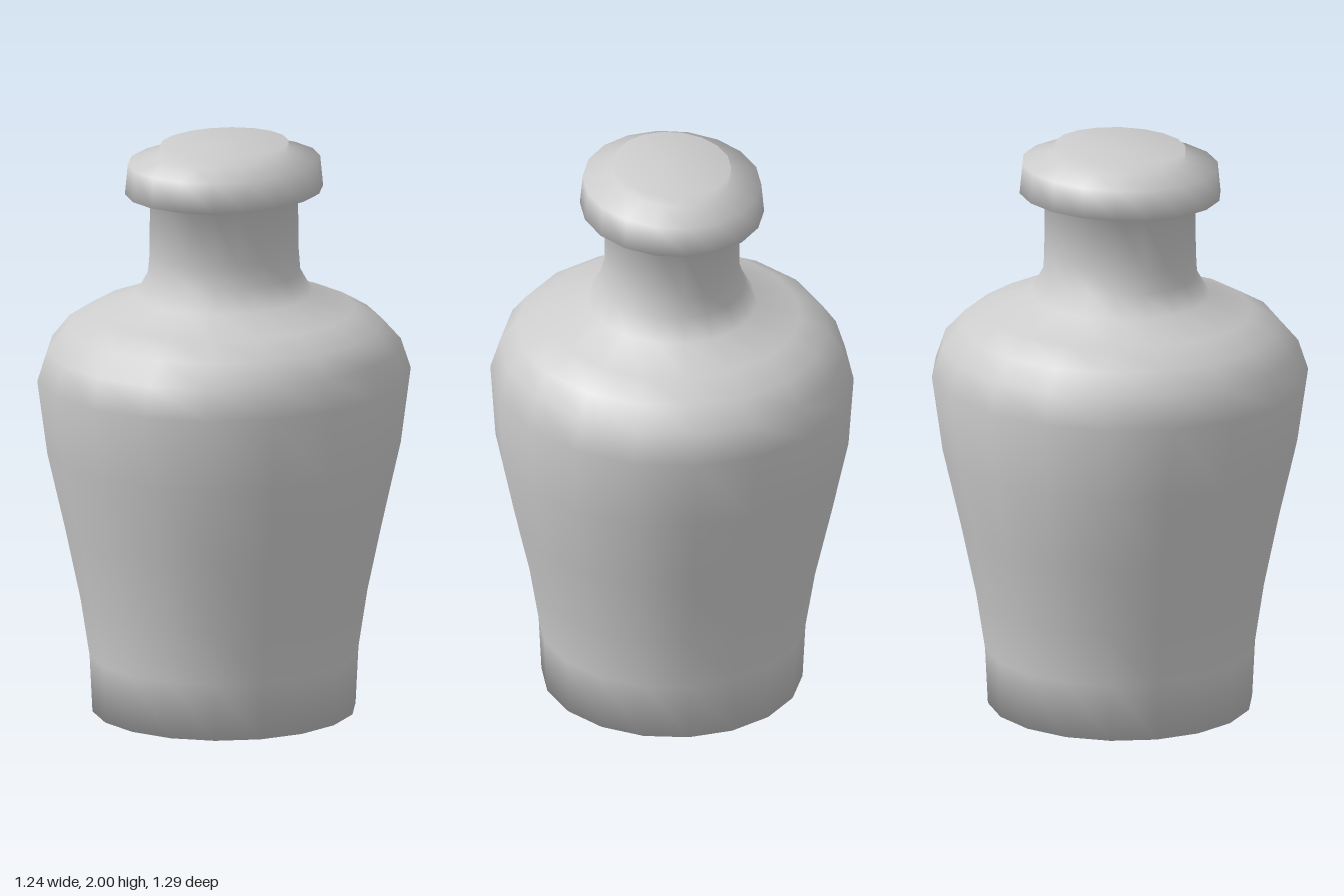
import * as THREE from 'three';
import { mergeVertices } from 'three/addons/utils/BufferGeometryUtils.js';

const SIDES = 18;

// Rings of the jar from base to top: [height, half width in x, half depth in z]
const RINGS = [
  [0, 0, 0], [0, 0.447, 0.457], [0.2, 0.457, 0.467], [0.4, 0.49, 0.497],
  [0.65, 0.548, 0.548], [0.92, 0.605, 0.612], [1.18, 0.62, 0.655],
  [1.285, 0.587, 0.62], [1.36, 0.535, 0.55], [1.415, 0.44, 0.458],
  [1.47, 0.29, 0.312], [1.545, 0.25, 0.269], [1.62, 0.227, 0.27], // shoulder to neck
  [1.81, 0.227, 0.268], [1.835, 0.312, 0.355], [1.94, 0.302, 0.345], // lip
  [1.965, 0.2, 0.234], [2, 0.2, 0.231], [2, 0, 0], // stopper top
];

function ovalLathe(rings) {
  const profile = rings.map(([y, rx]) => new THREE.Vector2(rx, y));
  let geometry = new THREE.LatheGeometry(profile, SIDES, Math.PI / 2);
  // Stretch each ring in z to its own depth
  const pos = geometry.attributes.position;
  for (let i = 0; i < pos.count; i++) {
    const [, rx, rz] = rings[i % rings.length];
    if (rx > 0) pos.setZ(i, pos.getZ(i) * rz / rx);
  }
  // Weld the seam and poles so the shading runs smoothly all round
  geometry.deleteAttribute('uv');
  geometry.deleteAttribute('normal');
  geometry = mergeVertices(geometry, 1e-4);
  geometry.computeVertexNormals();
  return geometry;
}

export function createModel() {
  const model = new THREE.Group();
  model.name = 'bottle';
  const material = new THREE.MeshStandardMaterial({ color: 0xcccccc });
  const body = new THREE.Mesh(ovalLathe(RINGS), material);
  body.name = 'bottleBody';
  model.add(body);
  return model;
}
